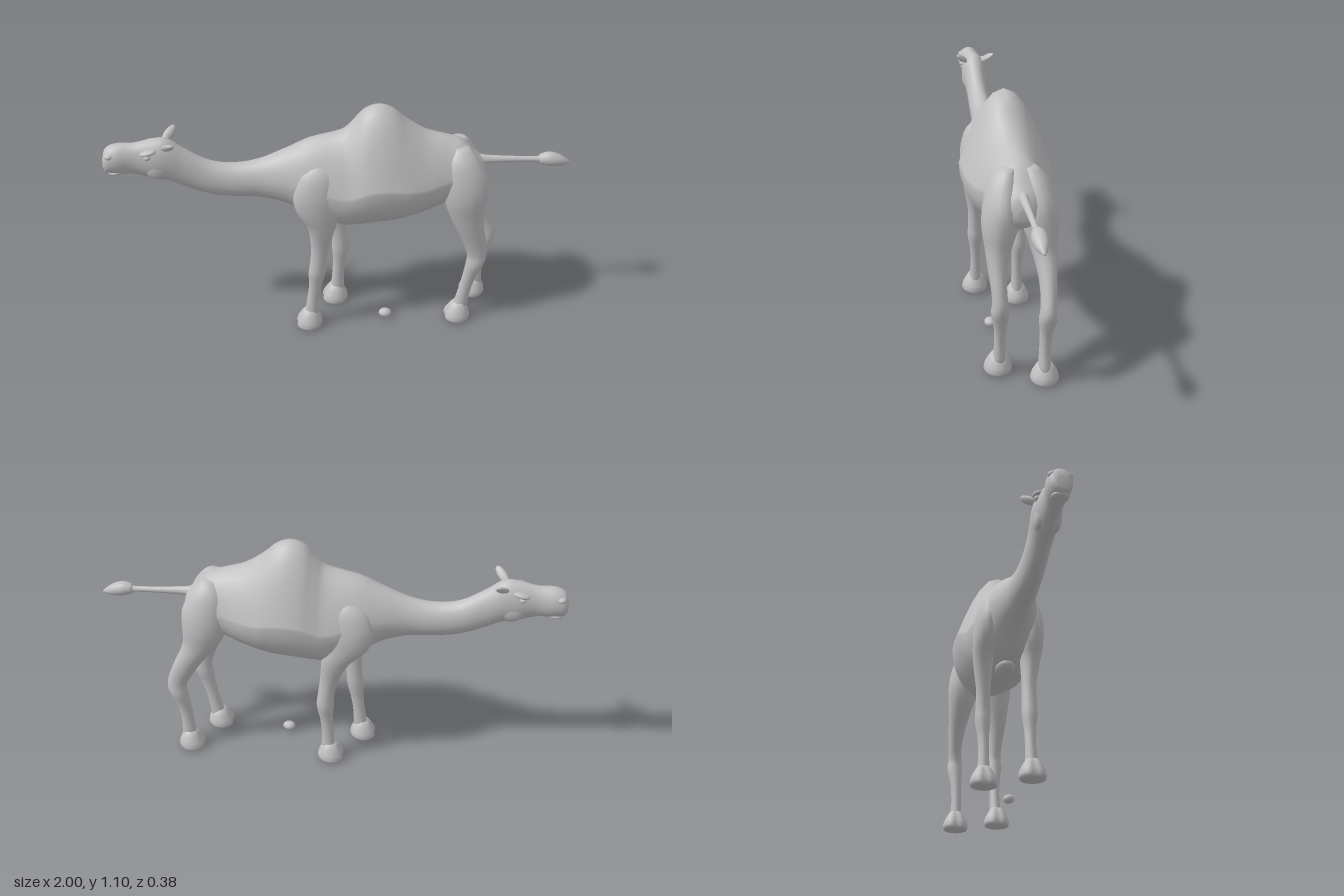
import * as THREE from 'three';

const hide = new THREE.MeshStandardMaterial({ color: 0xc0c0c0 });
hide.name = 'grey hide';

// Skin a list of closed rings (arrays of Vector3) and cap both ends.
function loft(rings) {
  const n = rings[0].length, points = rings.flat(), index = [];
  for (let i = 0; i < rings.length - 1; i++) {
    for (let j = 0; j < n; j++) {
      const a = i * n + j, b = i * n + (j + 1) % n;
      index.push(a, b, a + n, b, b + n, a + n);
    }
  }
  [0, rings.length - 1].forEach(i => {
    const k = points.length;
    points.push(rings[i].reduce((s, p) => s.add(p), new THREE.Vector3()).divideScalar(n));
    for (let j = 0; j < n; j++) {
      const a = i * n + j, b = i * n + (j + 1) % n;
      if (i === 0) index.push(k, b, a);
      else index.push(k, a, b);
    }
  });
  const g = new THREE.BufferGeometry().setFromPoints(points);
  g.setIndex(index);
  g.computeVertexNormals();
  return g;
}

// Smoothly resample every column of a table of stations.
function resample(rows, steps) {
  const curves = rows[0].map((_, c) =>
    new THREE.SplineCurve(rows.map((r, i) => new THREE.Vector2(i, r[c]))));
  return Array.from({ length: steps + 1 }, (_, i) => curves.map(k => k.getPoint(i / steps).y));
}

// One point per angle around a ring.
function ring(n, point) {
  return Array.from({ length: n }, (_, j) => {
    const t = j / n * Math.PI * 2;
    return new THREE.Vector3(...point(Math.cos(t), Math.sin(t), t));
  });
}

// Upright cross-section, pinched to a ridge around the hump.
function bodyRing([x, top, bottom, w]) {
  const hump = Math.exp(-(((x - 0.16) / 0.33) ** 2));
  const mid = bottom + (top - bottom) * (0.5 - 0.08 * hump);
  return ring(28, (c, s) => [
    x, c > 0 ? mid + (top - mid) * c ** (0.95 + 1.25 * hump) : mid + (mid - bottom) * c, w * s]);
}

function part(name, geometry) {
  const m = new THREE.Mesh(geometry, hide);
  m.name = name;
  return m;
}

function blob(name, x, y, z, rx, ry, rz) {
  const m = part(name, new THREE.SphereGeometry(1, 14, 10));
  m.position.set(x, y, z);
  m.scale.set(rx, ry, rz);
  return m;
}

// Broad padded foot with a cleft between two toes at the front: height, radius
function footGeometry() {
  const rows = [[0.095, 0.028], [0.072, 0.043], [0.045, 0.057], [0.022, 0.062], [0.008, 0.057], [0.005, 0.043]];
  return loft(rows.map(([y, r]) => ring(28, (c, s, t) => {
    const cleft = 1 - 0.2 * Math.exp(-18 * (t - Math.PI) ** 2);
    return [r * c * cleft - (0.09 - y) * 0.06, y, r * 0.96 * s];
  })));
}

// Trunk, neck and head: x, top, bottom, half width
const trunk = [
  [-1.0, 0.905, 0.85, 0.022], [-0.985, 0.945, 0.835, 0.043], [-0.94, 0.965, 0.828, 0.05],
  [-0.87, 0.966, 0.822, 0.043], [-0.79, 0.982, 0.794, 0.055], [-0.73, 0.982, 0.782, 0.055],
  [-0.66, 0.93, 0.745, 0.049], [-0.56, 0.866, 0.705, 0.05], [-0.45, 0.847, 0.689, 0.056],
  [-0.34, 0.865, 0.68, 0.067], [-0.23, 0.91, 0.645, 0.098], [-0.13, 0.955, 0.58, 0.133],
  [0.0, 0.987, 0.537, 0.166], [0.05, 1.03, 0.536, 0.177], [0.1, 1.086, 0.54, 0.186],
  [0.16, 1.106, 0.546, 0.19], [0.22, 1.085, 0.553, 0.188], [0.28, 1.03, 0.57, 0.182],
  [0.36, 0.975, 0.593, 0.16], [0.45, 0.945, 0.625, 0.13], [0.52, 0.92, 0.65, 0.12],
  [0.58, 0.862, 0.68, 0.093], [0.615, 0.825, 0.7, 0.06], [0.63, 0.78, 0.73, 0.025]];

// Tail with tuft: x, top, bottom, half width
const tail = [
  [0.58, 0.85, 0.785, 0.03], [0.64, 0.836, 0.798, 0.017], [0.84, 0.82, 0.795, 0.012],
  [0.87, 0.83, 0.785, 0.022], [0.91, 0.838, 0.773, 0.031], [0.96, 0.82, 0.772, 0.024],
  [1.0, 0.788, 0.78, 0.004]];

// Legs: height, x centre on the +z side, x centre on the -z side, x radius, z centre, z radius
const foreLeg = [
  [0.88, -0.09, -0.09, 0.03, 0.07, 0.02], [0.83, -0.1, -0.1, 0.08, 0.085, 0.045],
  [0.74, -0.11, -0.107, 0.103, 0.096, 0.056], [0.65, -0.105, -0.09, 0.095, 0.1, 0.053],
  [0.57, -0.092, -0.045, 0.063, 0.1, 0.043], [0.46, -0.1, -0.015, 0.041, 0.092, 0.032],
  [0.37, -0.109, 0.0, 0.037, 0.09, 0.033], [0.31, -0.115, 0.003, 0.039, 0.09, 0.034],
  [0.24, -0.123, -0.002, 0.03, 0.088, 0.025], [0.16, -0.134, -0.008, 0.028, 0.087, 0.023],
  [0.06, -0.144, -0.012, 0.033, 0.088, 0.028]];
const hindLeg = [
  [0.91, 0.51, 0.51, 0.03, 0.045, 0.025], [0.86, 0.512, 0.512, 0.072, 0.062, 0.053],
  [0.77, 0.527, 0.527, 0.102, 0.074, 0.071], [0.68, 0.535, 0.536, 0.097, 0.081, 0.073],
  [0.6, 0.543, 0.557, 0.079, 0.088, 0.056], [0.52, 0.563, 0.608, 0.063, 0.094, 0.042],
  [0.44, 0.59, 0.652, 0.053, 0.094, 0.033], [0.37, 0.606, 0.681, 0.045, 0.09, 0.032],
  [0.32, 0.6, 0.677, 0.041, 0.09, 0.037], [0.25, 0.582, 0.66, 0.032, 0.087, 0.027],
  [0.16, 0.563, 0.65, 0.029, 0.085, 0.023], [0.06, 0.546, 0.648, 0.035, 0.086, 0.028]];

export function createModel() {
  const model = new THREE.Group();
  model.name = 'camel';
  model.add(part('body', loft(resample(trunk, 92).map(bodyRing))));
  model.add(part('tail', loft(resample(tail, 24).map(bodyRing))));

  // Legs and feet, each side with its own stride
  const foot = footGeometry();
  Object.entries({ foreLeg, hindLeg }).forEach(([name, rows]) => {
    [1, -1].forEach(side => {
      const leg = new THREE.Group();
      leg.name = name;
      const stations = resample(rows, 33);
      leg.add(part('limb', loft(stations.map(([y, xa, xb, rx, z, rz]) =>
        ring(16, (c, s) => [(side > 0 ? xa : xb) + rx * c, y, side * z + rz * s])))));
      const ankle = stations[stations.length - 1];
      const pad = part('foot', foot);
      pad.position.set((side > 0 ? ankle[1] : ankle[2]) - 0.008, 0, side * 0.089);
      leg.add(pad);
      model.add(leg);
    });
  });

  // Ears, brows, eyes, cheeks and nostrils
  [1, -1].forEach(s => {
    const ear = blob('ear', -0.722, 0.972, s * 0.06, 0.019, 0.045, 0.011);
    ear.quaternion.setFromUnitVectors(new THREE.Vector3(0, 1, 0),
      new THREE.Vector3(0.55, 0.5, s * 0.62).normalize());
    const brow = blob('brow', -0.805, 0.943, s * 0.046, 0.036, 0.012, 0.02);
    brow.rotation.z = 0.2;
    model.add(ear, brow,
      blob('eye', -0.81, 0.922, s * 0.048, 0.015, 0.012, 0.014),
      blob('cheek', -0.775, 0.855, s * 0.032, 0.05, 0.05, 0.024),
      blob('nostril', -0.968, 0.925, s * 0.03, 0.02, 0.014, 0.02));
  });
  model.add(blob('lowerLip', -0.955, 0.838, 0, 0.033, 0.016, 0.036));

  // Chest pad and groin
  model.add(blob('chestPad', -0.03, 0.56, 0, 0.07, 0.03, 0.045));
  model.add(blob('groin', 0.42, 0.63, 0, 0.055, 0.035, 0.03));

  // Pebble on the ground
  const pebble = part('pebble', new THREE.IcosahedronGeometry(1, 1));
  pebble.position.set(0.2, 0.035, 0.07);
  pebble.scale.set(0.03, 0.02, 0.026);
  model.add(pebble);
  return model;
}
